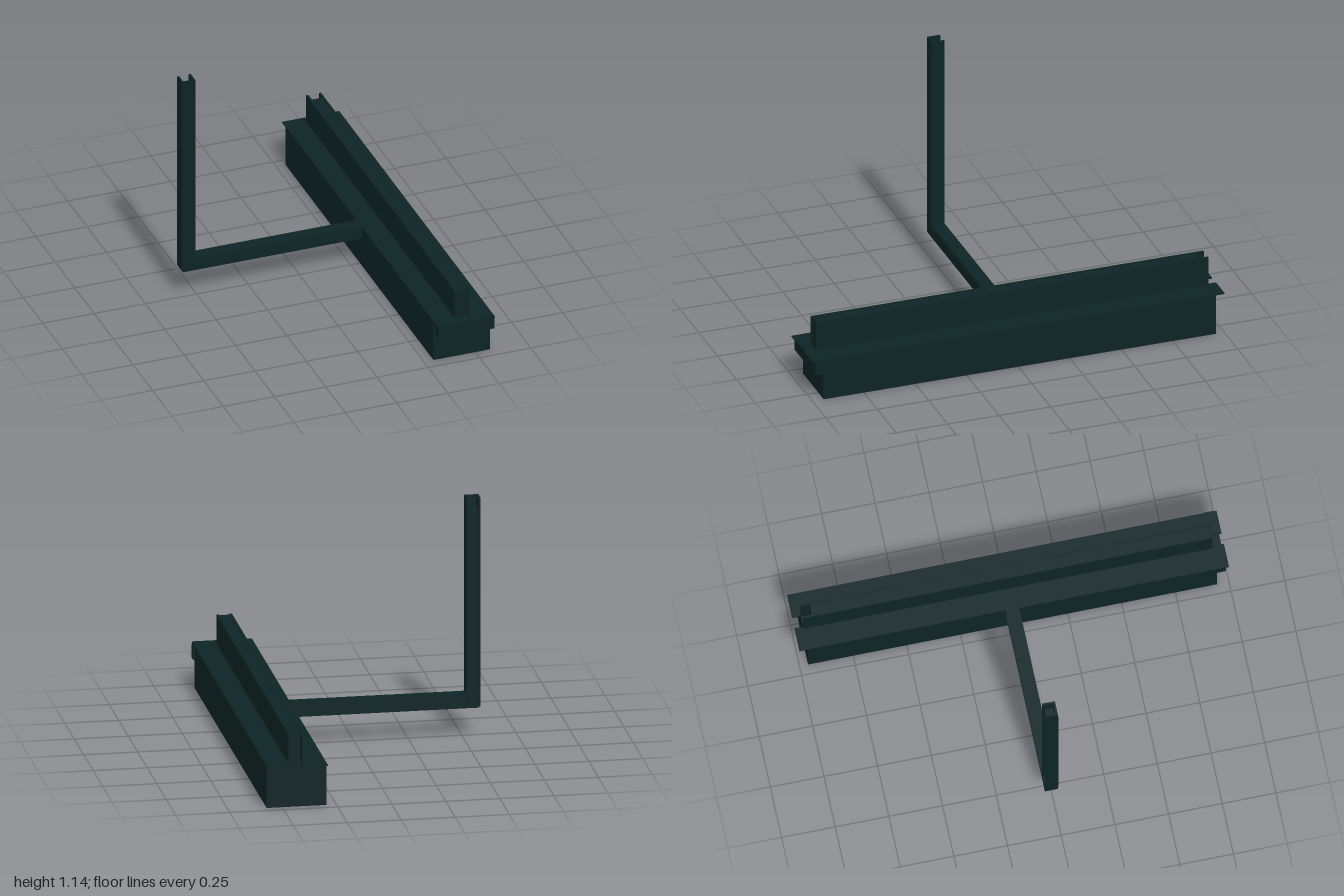
import * as THREE from 'three';

export function createModel() {
  const model = new THREE.Group();
  const paint = new THREE.MeshStandardMaterial({ color: 0x0d2424 });
  paint.name = 'dark green';

  // Box given by its limits on each axis
  const box = (name, [x0, x1], [y0, y1], [z0, z1], parent = model) => {
    const mesh = new THREE.Mesh(new THREE.BoxGeometry(x1 - x0, y1 - y0, z1 - z0), paint);
    mesh.name = name;
    mesh.position.set((x0 + x1) / 2, (y0 + y1) / 2, (z0 + z1) / 2);
    parent.add(mesh);
  };
  const section = (name) => {
    const group = new THREE.Group();
    group.name = name;
    model.add(group);
    return group;
  };

  // Long base beam with a stop block under its front overhang
  box('baseBeam', [0.296, 0.572], [0, 0.197], [-0.96, 0.945]);
  box('frontBlock', [0.303, 0.578], [0.133, 0.197], [0.94, 0.988]);

  // Two thin flanges, leaving a slot open at each end
  box('rightFlange', [0.296, 0.409], [0.197, 0.203], [-1, 1]);
  box('leftFlange', [0.461, 0.574], [0.197, 0.203], [-1, 1]);

  // Upright rail: two walls around a core that stops short at the back
  const rail = section('rail');
  box('railRightWall', [0.398, 0.409], [0.2, 0.343], [-0.96, 0.945], rail);
  box('railLeftWall', [0.461, 0.47], [0.2, 0.343], [-0.96, 0.945], rail);
  box('railCore', [0.409, 0.461], [0.19, 0.34], [-0.92, 0.94], rail);

  // Side arm: channel with its core set back behind and proud in front
  const arm = section('arm');
  box('armTop', [-0.575, 0.3], [0.198, 0.206], [-0.04, 0.02], arm);
  box('armBottom', [-0.575, 0.3], [0.14, 0.148], [-0.04, 0.02], arm);
  box('armCore', [-0.57, 0.3], [0.148, 0.198], [-0.03, 0.024], arm);

  // Post: the same channel, with a shorter core than its walls
  const post = section('post');
  box('postRightWall', [-0.58, -0.57], [0.148, 1.14], [-0.04, 0.02], post);
  box('postLeftWall', [-0.524, -0.514], [0.148, 1.14], [-0.04, 0.02], post);
  box('postFrontWeb', [-0.57, -0.524], [0.148, 1.14], [0.01, 0.02], post);
  box('postCore', [-0.57, -0.524], [0.148, 1.08], [-0.03, 0.024], post);

  return model;
}
